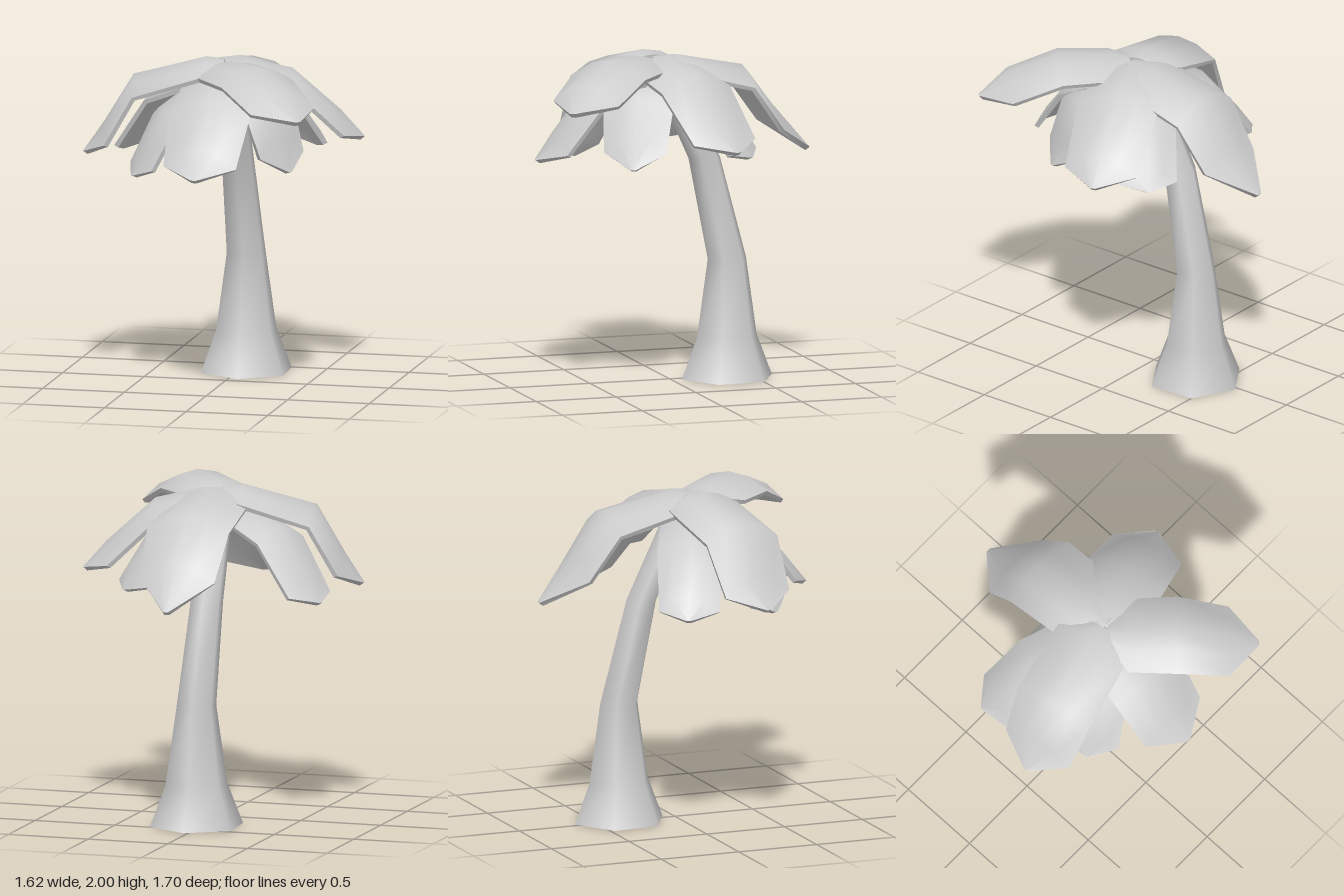
import * as THREE from 'three';
import { mergeVertices, toCreasedNormals } from 'three/addons/utils/BufferGeometryUtils.js';

const material = new THREE.MeshStandardMaterial({ color: 0xcccccc, side: THREE.DoubleSide });

// Six-sided bent trunk, open at the bottom; rings are [y, x, z, radius]
function createTrunk() {
  const rings = [
    [1.9, 0.03, 0.06, 0.09],
    [1.33, 0.02, -0.21, 0.1],
    [0.72, 0.04, -0.345, 0.122],
    [0.25, 0.04, -0.345, 0.19],
    [0, 0.04, -0.345, 0.287],
  ];
  let geo = new THREE.CylinderGeometry(1, 1, 1, 6, rings.length - 1, true, THREE.MathUtils.degToRad(3));
  const p = geo.attributes.position;
  for (let i = 0; i < p.count; i++) {
    const [y, x, z, r] = rings[Math.floor(i / 7)];
    p.setXYZ(i, x + p.getX(i) * r, y, z + p.getZ(i) * r);
  }
  geo.deleteAttribute('uv');
  geo.deleteAttribute('normal');
  geo = mergeVertices(geo);
  geo.computeVertexNormals();
  const mesh = new THREE.Mesh(geo, material);
  mesh.name = 'trunk';
  return mesh;
}

// Arched leaf blade with a thin rim, from a base [x, z] to a tip [x, z];
// spine rows are [distance out, height]
function createFrond(name, base, tip, halfWidth, spine) {
  const dir = new THREE.Vector2(tip[0] - base[0], tip[1] - base[1]).normalize();
  const widths = [0.35, 0.95, 1, 0.9, 0.06];
  const droops = [0.25, 0.33, 0.4, 0.52, 0];
  const across = [-1, -0.5, 0, 0.5, 1];
  const thickness = 0.032;
  const n = across.length * 2;
  const pos = [];
  const index = [];

  spine.forEach(([d, y], row) => {
    const a = spine[Math.max(row - 1, 0)];
    const b = spine[Math.min(row + 1, spine.length - 1)];
    const len = Math.hypot(b[0] - a[0], b[1] - a[1]);
    const nOut = (a[1] - b[1]) / len;
    const nUp = (b[0] - a[0]) / len;
    const w = halfWidth * widths[row];
    // Edges sag straight down, the underside lies along the normal
    const point = (u, depth) => {
      const out = d - nOut * depth;
      pos.push(
        base[0] + dir.x * out + dir.y * u * w,
        y - droops[row] * w * u * u - nUp * depth,
        base[1] + dir.y * out - dir.x * u * w
      );
    };
    across.forEach((u) => point(u, 0));
    [...across].reverse().forEach((u) => point(u * 0.96, thickness));
  });

  // Skin between neighbouring rows
  for (let r = 0; r < spine.length - 1; r++) {
    for (let i = 0; i < n; i++) {
      const a = r * n + i, b = r * n + (i + 1) % n;
      index.push(a, a + n, b, b, a + n, b + n);
    }
  }
  // End caps
  const last = (spine.length - 1) * n;
  for (let i = 1; i < n - 1; i++) {
    index.push(0, i, i + 1, last, last + i + 1, last + i);
  }

  const geo = new THREE.BufferGeometry();
  geo.setAttribute('position', new THREE.Float32BufferAttribute(pos, 3));
  geo.setIndex(index);
  const mesh = new THREE.Mesh(toCreasedNormals(geo, 0.9), material);
  mesh.name = name;
  return mesh;
}

export function createModel() {
  const group = new THREE.Group();
  group.name = 'palmTree';
  group.add(createTrunk());

  // Name, base, tip, half width, spine
  const fronds = [
    // Upper tier
    ['upperFrontFrond', [0.03, 0.19], [0.635, 0.815], 0.245, [[-0.02, 1.96], [0.1, 1.985], [0.4, 2.0], [0.7, 1.9], [0.88, 1.75]]],
    ['upperLeftFrond', [0.02, 0.09], [0.8, -0.165], 0.25, [[0, 1.96], [0.12, 1.97], [0.4, 1.91], [0.69, 1.65], [0.83, 1.49]]],
    ['upperBackFrond', [0.065, 0.13], [0.065, -0.85], 0.257, [[0, 1.96], [0.16, 1.97], [0.56, 1.89], [0.75, 1.64], [0.98, 1.37]]],
    ['upperRightFrond', [0.02, 0.12], [-0.805, 0.28], 0.25, [[0, 1.97], [0.11, 1.985], [0.54, 1.88], [0.71, 1.6], [0.84, 1.41]]],
    // Lower tier
    ['lowerFrontFrond', [0.04, 0.13], [0.005, 0.845], 0.25, [[0, 1.91], [0.1, 1.92], [0.37, 1.8], [0.58, 1.54], [0.715, 1.37]]],
    ['lowerFrontLeftFrond', [0.02, 0.13], [0.49, 0.39], 0.21, [[0, 1.88], [0.1, 1.89], [0.38, 1.77], [0.47, 1.55], [0.54, 1.36]]],
    ['lowerFrontRightFrond', [0.02, 0.13], [-0.46, 0.465], 0.19, [[0, 1.88], [0.1, 1.89], [0.38, 1.71], [0.53, 1.45], [0.59, 1.31]]],
    ['lowerBackRightFrond', [0.02, 0.13], [-0.68, -0.19], 0.2, [[0, 1.88], [0.1, 1.9], [0.45, 1.78], [0.69, 1.49], [0.78, 1.36]]],
    ['lowerBackLeftFrond', [0.02, 0.13], [0.5, -0.36], 0.19, [[0, 1.88], [0.1, 1.89], [0.42, 1.77], [0.62, 1.52], [0.68, 1.4]]],
  ];
  fronds.forEach((f) => group.add(createFrond(...f)));
  return group;
}
